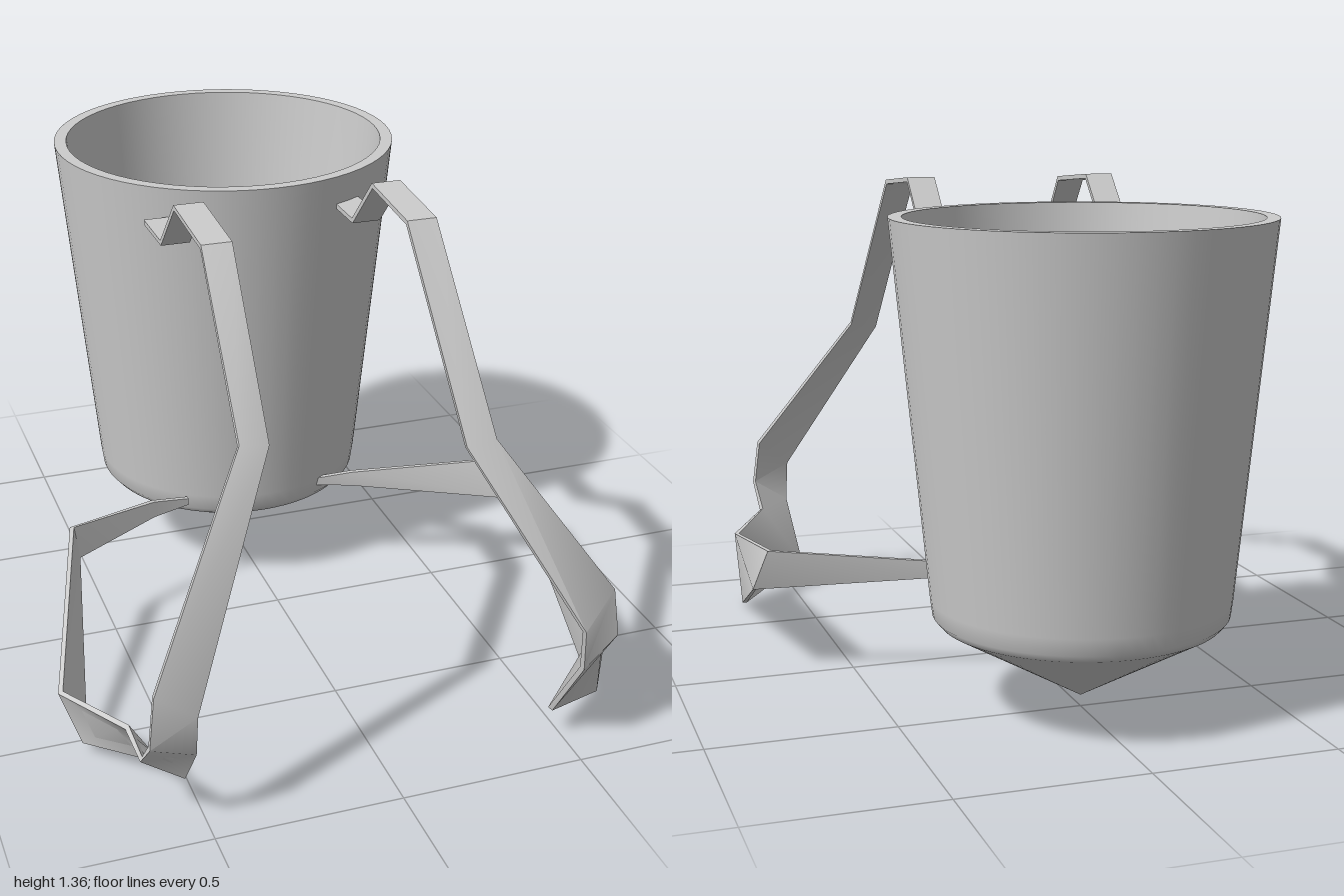
import * as THREE from 'three';
import { toCreasedNormals } from 'three/addons/utils/BufferGeometryUtils.js';

const material = new THREE.MeshStandardMaterial({ color: 0xcccccc, side: THREE.DoubleSide });

function lathe(name, profile) {
  const points = profile.map(([r, y]) => new THREE.Vector2(r, y));
  const mesh = new THREE.Mesh(new THREE.LatheGeometry(points, 64), material);
  mesh.name = name;
  return mesh;
}

// Thin band through stations, each given by its outer and inner edge points
function strap(name, stations, thickness = 0.014) {
  const edges = stations.map(s => [new THREE.Vector3(...s[0]), new THREE.Vector3(...s[1])]);
  const mids = edges.map(([a, b]) => a.clone().add(b).multiplyScalar(0.5));
  const positions = [], index = [];
  edges.forEach(([a, b], i) => {
    const next = mids[Math.min(i + 1, mids.length - 1)], prev = mids[Math.max(i - 1, 0)];
    const forward = next.clone().sub(mids[i]).normalize().add(mids[i].clone().sub(prev).normalize());
    const offset = forward.cross(b.clone().sub(a)).setLength(thickness / 2);
    const ring = [a.clone().add(offset), b.clone().add(offset), b.clone().sub(offset), a.clone().sub(offset)];
    ring.forEach(p => positions.push(p.x, p.y, p.z));
    if (i === 0) return;
    const p = (i - 1) * 4, q = i * 4;
    for (let k = 0; k < 4; k++) {
      const n = (k + 1) % 4;
      index.push(p + k, p + n, q + k, p + n, q + n, q + k);
    }
  });
  const e = positions.length / 3 - 4;
  index.push(0, 2, 1, 0, 3, 2, e, e + 1, e + 2, e, e + 2, e + 3);
  const geometry = new THREE.BufferGeometry();
  geometry.setAttribute('position', new THREE.Float32BufferAttribute(positions, 3));
  geometry.setIndex(index);
  const mesh = new THREE.Mesh(toCreasedNormals(geometry, 0.7), material);
  mesh.name = name;
  return mesh;
}

// Level upper section of a shoulder strap, from the bucket over the shoulder
function shoulder(outerX, innerX) {
  return [[1.22, -0.1], [1.22, 0.07], [1.365, 0.21], [1.345, 0.45]]
    .map(([y, z]) => [[outerX, y, z], [innerX, y, z]]);
}

export function createModel() {
  const model = new THREE.Group();

  // Tapered bucket with a conical base and an open top
  const bucket = new THREE.Group();
  bucket.name = 'bucket';
  bucket.position.z = -0.5;
  bucket.add(
    lathe('outerWall', [[0, 0.04], [0.2, 0.155], [0.375, 0.255], [0.392, 0.275], [0.398, 0.32], [0.495, 1.31]]),
    lathe('rim', [[0.495, 1.31], [0.46, 1.31]]),
    lathe('innerWall', [[0.46, 1.31], [0.365, 0.33], [0.35, 0.29], [0.2, 0.2], [0, 0.09]])
  );
  model.add(bucket);

  // Left strap, wide where it twists round at the bottom
  model.add(strap('leftStrap', [
    ...shoulder(0.27, 0.19),
    [[0.305, 0.88, 0.79], [0.225, 0.87, 0.79]],
    [[0.585, 0.48, 0.94], [0.485, 0.40, 0.99]],
    [[0.60, 0.35, 0.95], [0.495, 0.28, 0.975]],
    [[0.59, 0.27, 0.89], [0.47, 0.09, 0.87]],
    [[0.70, 0.24, 0.72], [0.68, 0.01, 0.73]],
    [[0.73, 0.37, 0.0], [0.765, 0.25, 0.05]],
    [[0.28, 0.335, -0.13], [0.28, 0.29, -0.13]],
    [[0.16, 0.32, -0.155], [0.16, 0.30, -0.155]]
  ]));

  // Right strap, hanging a little differently
  model.add(strap('rightStrap', [
    ...shoulder(-0.35, -0.27),
    [[-0.365, 0.97, 0.79], [-0.29, 0.96, 0.79]],
    [[-0.635, 0.43, 0.96], [-0.53, 0.36, 0.97]],
    [[-0.65, 0.29, 0.965], [-0.53, 0.24, 0.95]],
    [[-0.65, 0.20, 0.88], [-0.54, 0.13, 0.89]],
    [[-0.65, 0.20, 0.74], [-0.575, 0.07, 0.72]],
    [[-0.77, 0.18, 0.51], [-0.72, 0.04, 0.55]],
    [[-0.61, 0.36, -0.02], [-0.60, 0.27, 0.0]],
    [[-0.34, 0.335, -0.14], [-0.34, 0.285, -0.14]],
    [[-0.23, 0.32, -0.155], [-0.23, 0.30, -0.155]]
  ]));

  return model;
}
